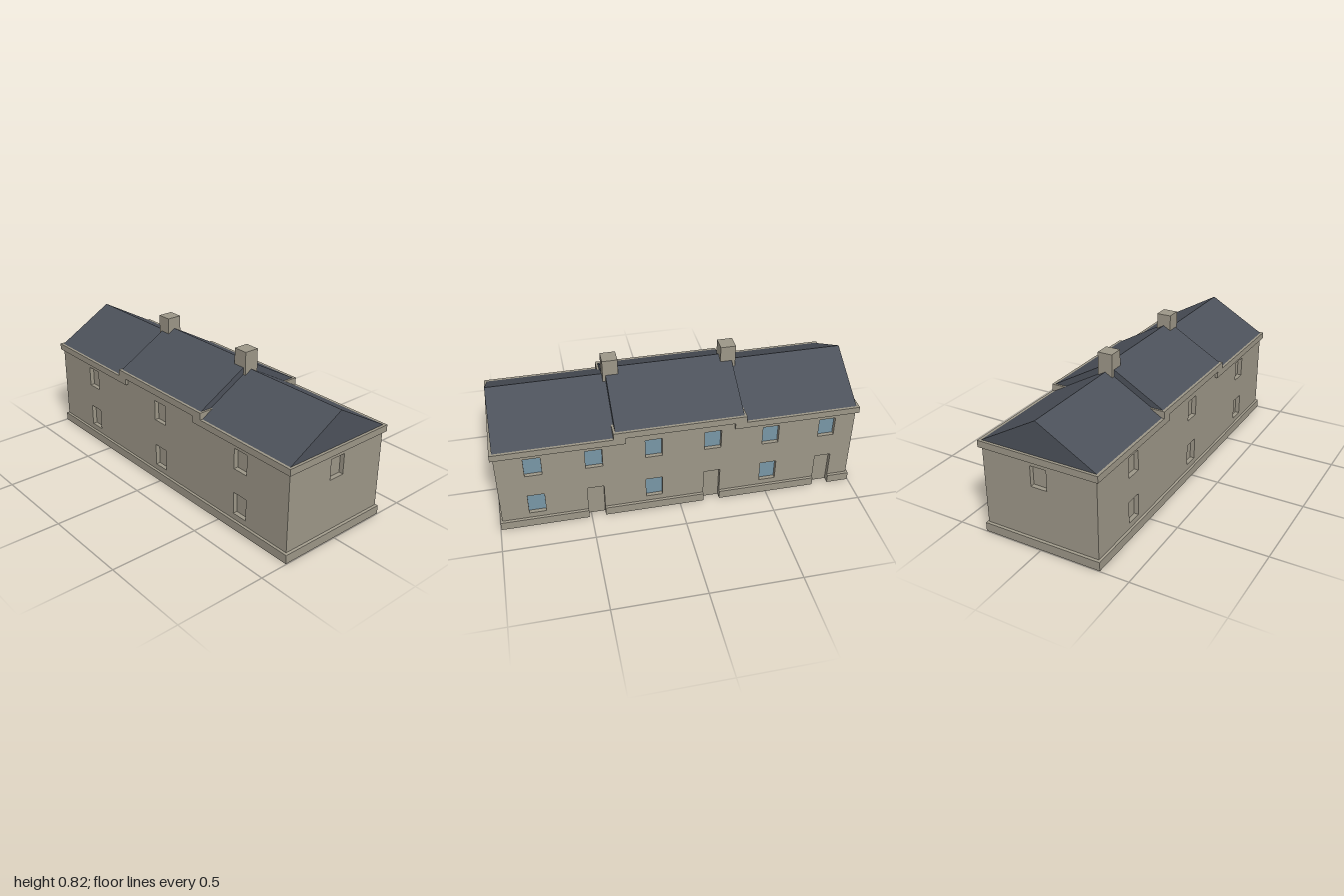
import * as THREE from 'three';

const stone = new THREE.MeshStandardMaterial({ color: 0x9c9687, flatShading: true });
const slate = new THREE.MeshStandardMaterial({ color: 0x4c515a, flatShading: true });
const glass = new THREE.MeshStandardMaterial({ color: 0x7896a6, flatShading: true });

const WX = 0.985, WZ = 0.328;        // wall half sizes
const PX = 0.997, PZ = 0.339;        // plinth half sizes
const DEPTH = 0.025;                 // depth of the window and door recesses
const EAVES = 0.49, LOW = 0.527, HIGH = 0.565;
const STEP = 0.297;                  // half width of the raised wall centre
const OPEN = 0.046;                  // half width of an opening
const DOOR_TOP = 0.205;
const backX = [0.79, 0.468, 0.145, -0.18, -0.505, -0.827];
const doorX = [backX[1], backX[3], backX[5]];

function add(parent, name, geometry, material) {
  const mesh = new THREE.Mesh(geometry, material);
  mesh.name = name;
  parent.add(mesh);
  return mesh;
}

function box(parent, name, material, x0, x1, y0, y1, z0, z1) {
  const g = new THREE.BoxGeometry(x1 - x0, y1 - y0, z1 - z0);
  g.translate((x0 + x1) / 2, (y0 + y1) / 2, (z0 + z1) / 2);
  return add(parent, name, g, material);
}

const shapeOf = (points) => new THREE.Shape(points.map(([x, y]) => new THREE.Vector2(x, y)));
const extrude = (shape, depth) => new THREE.ExtrudeGeometry(shape, { depth, bevelEnabled: false });

function opening([x, y0, y1]) {
  return new THREE.Path([[x - OPEN, y0], [x - OPEN, y1], [x + OPEN, y1], [x + OPEN, y0]]
    .map(([a, b]) => new THREE.Vector2(a, b)));
}

// Long wall skin with a raised centre, door notches and window holes
function longWall(windows, doors) {
  const pts = [[-WX, 0.02]];
  for (const x of doors) {
    pts.push([x - OPEN, 0.02], [x - OPEN, DOOR_TOP], [x + OPEN, DOOR_TOP], [x + OPEN, 0.02]);
  }
  pts.push([WX, 0.02], [WX, EAVES + 0.01], [STEP, EAVES + 0.01], [STEP, LOW + 0.005],
    [-STEP, LOW + 0.005], [-STEP, EAVES + 0.01], [-WX, EAVES + 0.01]);
  const shape = shapeOf(pts);
  shape.holes = windows.map(opening);
  return extrude(shape, DEPTH).translate(0, 0, WZ - DEPTH);
}

// Upper windows sit a little higher under the raised eaves
const upper = (x) => (Math.abs(x) < STEP ? [x, 0.366, 0.482] : [x, 0.348, 0.463]);
const lower = (x) => [x, 0.086, 0.21];

// Gabled roof prism running along x
function gable(parent, name, x0, x1, y) {
  const g = extrude(shapeOf([[-WZ, y], [WZ, y], [0, y + 0.187]]), x1 - x0);
  g.rotateY(Math.PI / 2).translate(x0, 0, 0);
  add(parent, name, g, slate);
}

export function createModel() {
  const house = new THREE.Group();
  house.name = 'house';

  // Solid core, whose faces form the backs of the recesses
  box(house, 'wallCore', stone, -WX + DEPTH, WX - DEPTH, 0, LOW - 0.005, -WZ + DEPTH, WZ - DEPTH);

  // Front wall with blind windows
  const frontX = [-0.65, 0, 0.65];
  add(house, 'frontWall', longWall([...frontX.map(upper), ...frontX.map(lower)], []), stone);

  // Back wall with doors and glazed windows, built facing front then turned
  const backWindows = [...backX.map(upper), ...backX.filter((x) => !doorX.includes(x)).map(lower)];
  const turned = backWindows.map(([x, a, b]) => [-x, a, b]);
  add(house, 'backWall', longWall(turned, doorX.map((x) => -x)), stone).rotation.y = Math.PI;
  for (const [x, y0, y1] of backWindows) {
    box(house, 'windowGlass', glass, x - OPEN, x + OPEN, y0, y1, -WZ + DEPTH - 0.003, -WZ + DEPTH + 0.01);
  }

  // End walls with one blind window each
  for (const side of [-1, 1]) {
    const w = WZ - DEPTH;
    const shape = shapeOf([[-w, 0.02], [w, 0.02], [w, EAVES + 0.01], [-w, EAVES + 0.01]]);
    shape.holes = [opening([0, 0.348, 0.463])];
    const g = extrude(shape, DEPTH).translate(0, 0, WX - DEPTH);
    add(house, 'endWall', g, stone).rotation.y = side * Math.PI / 2;
  }

  // Plinth plan, notched at the back doors, with a sloped top edge
  const plan = [[-PX, -PZ], [PX, -PZ], [PX, PZ]];
  for (const x of doorX) {
    plan.push([x + OPEN, PZ], [x + OPEN, 0.29], [x - OPEN, 0.29], [x - OPEN, PZ]);
  }
  plan.push([-PX, PZ]);
  const base = extrude(shapeOf(plan), 0.049).rotateX(-Math.PI / 2);
  const slope = extrude(shapeOf(plan), 0.005).rotateX(-Math.PI / 2).translate(0, 0.049, 0);
  const p = slope.attributes.position;
  for (let i = 0; i < p.count; i++) {
    if (p.getY(i) < 0.052) continue;
    p.setX(i, THREE.MathUtils.clamp(p.getX(i), -WX, WX));
    p.setZ(i, THREE.MathUtils.clamp(p.getZ(i), -WZ, WZ));
  }
  slope.computeVertexNormals();
  add(house, 'plinth', base, stone);
  add(house, 'plinthSlope', slope, stone);

  // Eaves band: low at both ends, stepped up in the middle
  box(house, 'rightEaves', stone, -1, -STEP, EAVES, LOW, -0.343, 0.343);
  box(house, 'leftEaves', stone, STEP, 1, EAVES, LOW, -0.343, 0.343);
  box(house, 'centreEaves', stone, -0.36, 0.36, LOW, HIGH, -0.343, 0.343);

  // Roofs
  gable(house, 'rightRoof', -WX, -0.345, LOW);
  gable(house, 'leftRoof', 0.345, WX, LOW);
  gable(house, 'centreRoof', -0.348, 0.348, HIGH);

  // Chimneys astride the roof steps
  for (const x of [-0.326, 0.322]) {
    box(house, 'chimney', stone, x - 0.042, x + 0.042, 0.6, 0.818, -0.042, 0.042);
  }
  return house;
}
